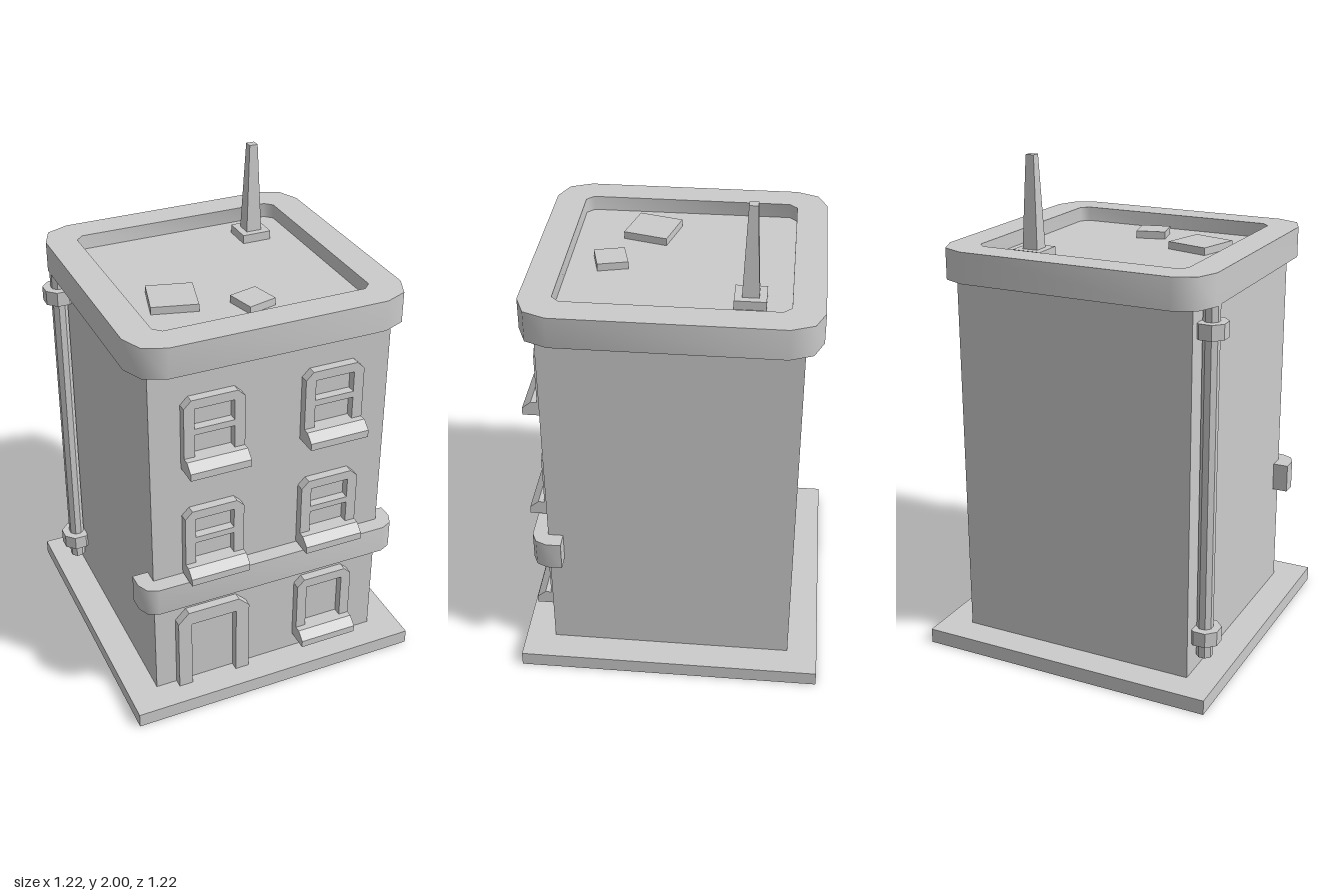
import * as THREE from 'three';
import { toCreasedNormals } from 'three/addons/utils/BufferGeometryUtils.js';

const flat = new THREE.MeshStandardMaterial({ color: 0xcccccc, flatShading: true });
const smooth = new THREE.MeshStandardMaterial({ color: 0xcccccc });
const WALL = 0.49;

const points = (list) => list.map(([x, y]) => new THREE.Vector2(x, y));

function add(parent, name, geometry, x = 0, y = 0, z = 0, material = flat) {
  const mesh = new THREE.Mesh(geometry, material);
  mesh.name = name;
  mesh.position.set(x, y, z);
  parent.add(mesh);
  return mesh;
}

function extrude(outline, depth, holes = []) {
  const shape = new THREE.Shape(points(outline));
  shape.holes = holes.map((h) => new THREE.Path(points(h)));
  return new THREE.ExtrudeGeometry(shape, { depth, bevelEnabled: false });
}

// Plan outline raised to a height
const raise = (outline, height, holes) =>
  extrude(outline, height, holes).rotateX(-Math.PI / 2);

const rect = (w, y0, y1) => [[-w, y0], [w, y0], [w, y1], [-w, y1]];

// Upright panel with cut top corners
const arched = (w, h, c) => [[-w, 0], [w, 0], [w, h - c], [w - c, h], [c - w, h], [-w, h - c]];

// One corner repeated four times around the centre
function cornered(corner) {
  const out = [];
  for (let q = 0; q < 4; q++) {
    const c = Math.round(Math.cos(q * Math.PI / 2)), s = Math.round(Math.sin(q * Math.PI / 2));
    corner.forEach(([x, y]) => out.push([x * c - y * s, x * s + y * c]));
  }
  return out;
}

function createWindow(x, y, split) {
  const win = new THREE.Group();
  win.name = 'window';
  win.position.set(x, y, WALL);
  const holes = split
    ? [rect(0.08, 0.06, 0.154), rect(0.08, 0.18, 0.265)]
    : [rect(0.08, 0.06, 0.262)];
  add(win, 'windowFrame', extrude(arched(0.122, 0.303, 0.03), 0.035, holes));
  // Sloped sill
  const sill = extrude([[0, 0], [0.095, 0], [0.095, 0.03], [0.06, 0.06], [0, 0.06]], 0.244);
  add(win, 'windowSill', sill.rotateY(-Math.PI / 2), 0.122);
  return win;
}

export function createModel() {
  const model = new THREE.Group();
  model.name = 'townhouse';

  // Pavement, walls and flat roof
  add(model, 'basePlate', new THREE.BoxGeometry(1.224, 0.06, 1.224), 0, 0.03, 0);
  add(model, 'walls', new THREE.BoxGeometry(2 * WALL, 1.545, 2 * WALL), 0, 0.8325, 0);

  // Parapet ring with rounded corners
  const outer = cornered([[0.555, 0.43], [0.518, 0.518], [0.43, 0.555]]);
  const inner = cornered([[0.433, 0.403], [0.403, 0.433]]);
  add(model, 'parapet', toCreasedNormals(raise(outer, 0.123, [inner]), 0.9), 0, 1.541, 0, smooth);

  // Front ledge above the ground floor
  const ledge = [[-0.553, -0.43], [-0.553, -0.49], [-0.533, -0.533], [-0.49, -0.553],
    [0.49, -0.553], [0.533, -0.533], [0.553, -0.49], [0.553, -0.43]];
  add(model, 'ledge', toCreasedNormals(raise(ledge, 0.118), 0.9), 0, 0.497, 0, smooth);

  // Windows
  for (const y of [0.62, 1.11]) {
    for (const side of [-1, 1]) model.add(createWindow(side * 0.245, y, true));
  }
  model.add(createWindow(0.245, 0.127, false));

  // Door surround, open at the bottom
  const w = 0.154, h = 0.372, i = 0.097, t = 0.312, c = 0.045;
  add(model, 'doorFrame', extrude([[-w, 0], [-i, 0], [-i, t], [i, t], [i, 0], [w, 0],
    [w, h - c], [w - c, h], [c - w, h], [-w, h - c]], 0.035), -0.249, 0.06, WALL);

  // Drainpipe with two collars
  const octagon = (apothem, height) =>
    new THREE.CylinderGeometry(apothem / Math.cos(Math.PI / 8), apothem / Math.cos(Math.PI / 8), height, 8)
      .rotateY(Math.PI / 8);
  add(model, 'drainpipe', octagon(0.03, 1.42), -0.525, 0.835, -0.4);
  for (const y of [0.22, 1.45]) add(model, 'pipeCollar', octagon(0.06, 0.06), -0.525, y, -0.4);

  // Mast on its footing
  add(model, 'mastFooting', new THREE.BoxGeometry(0.12, 0.035, 0.12), 0.27, 1.6225, -0.28);
  const mast = new THREE.CylinderGeometry(0.017 * Math.SQRT2, 0.032 * Math.SQRT2, 0.36, 4);
  add(model, 'mast', mast.rotateY(Math.PI / 4), 0.27, 1.82, -0.28);

  // Loose roof slabs
  for (const [x, z, size, turn] of [[-0.249, 0.138, 0.18, -0.26], [0.02, 0.272, 0.12, 0.25]]) {
    add(model, 'roofSlab', new THREE.BoxGeometry(size, 0.03, size), x, 1.62, z).rotation.y = turn;
  }
  return model;
}
